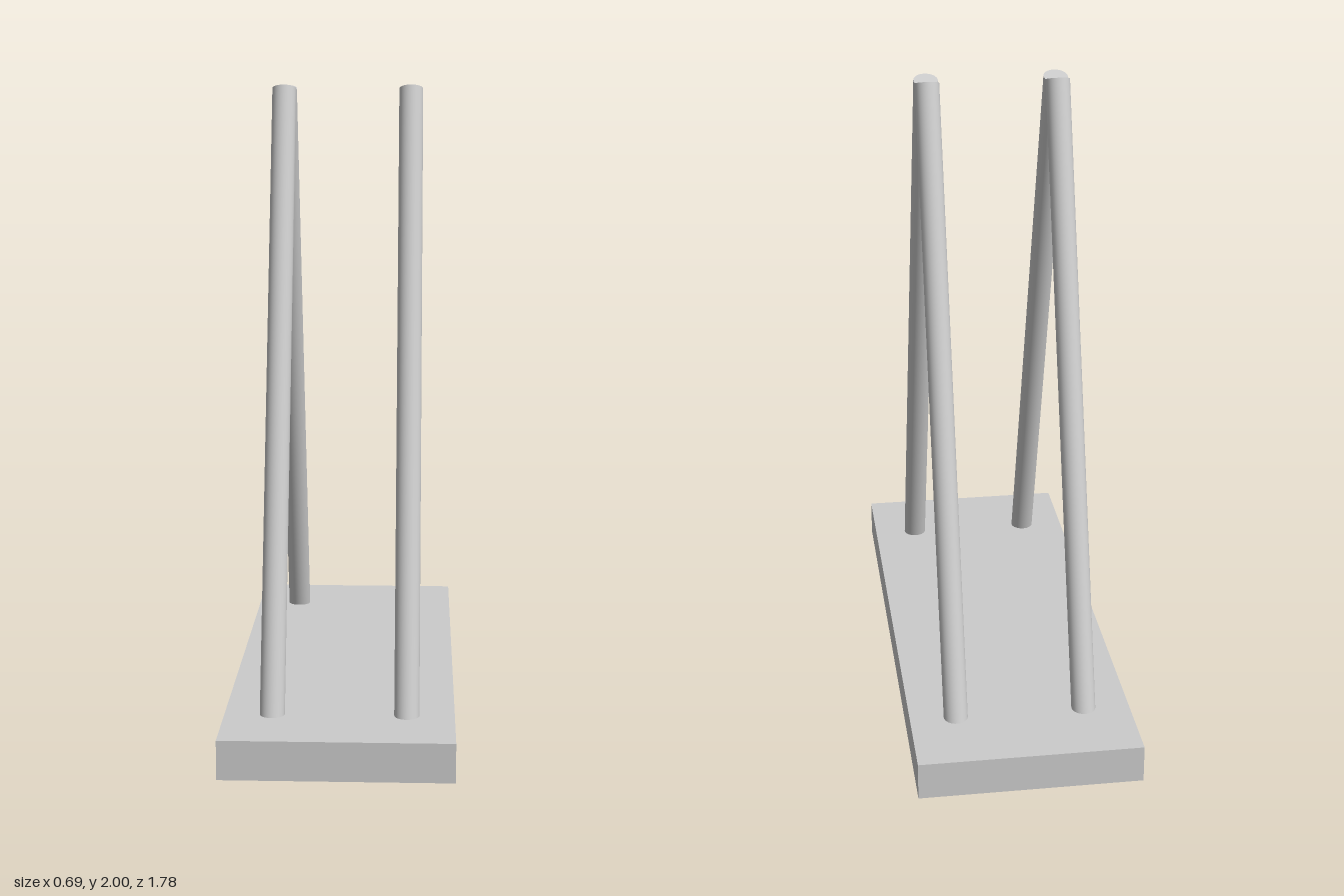
import * as THREE from 'three';

export function createModel() {
  const model = new THREE.Group();
  model.name = 'rodFrameStand';
  const material = new THREE.MeshStandardMaterial({ color: 0xcccccc });

  // Flat rectangular base plate
  const baseHeight = 0.119;
  const base = new THREE.Mesh(new THREE.BoxGeometry(0.695, baseHeight, 1.785), material);
  base.name = 'base';
  base.position.y = baseHeight / 2;
  model.add(base);

  // Straight round rod between two points, with square-cut ends
  const up = new THREE.Vector3(0, 1, 0);
  function addRod(name, from, to) {
    const axis = to.clone().sub(from);
    const rod = new THREE.Mesh(new THREE.CylinderGeometry(0.038, 0.038, axis.length(), 32), material);
    rod.name = name;
    rod.position.copy(from).add(to).multiplyScalar(0.5);
    rod.quaternion.setFromUnitVectors(up, axis.normalize());
    model.add(rod);
  }

  // Two A-frames: each pair of rods leans together and overlaps at the top
  for (const [side, x] of [['left', 0.203], ['right', -0.203]]) {
    for (const [end, s] of [['Front', 1], ['Back', -1]]) {
      addRod(
        `${side}${end}Rod`,
        new THREE.Vector3(x, 0.06, s * 0.664),
        new THREE.Vector3(x, 1.988, s * 0.019)
      );
    }
  }
  return model;
}
